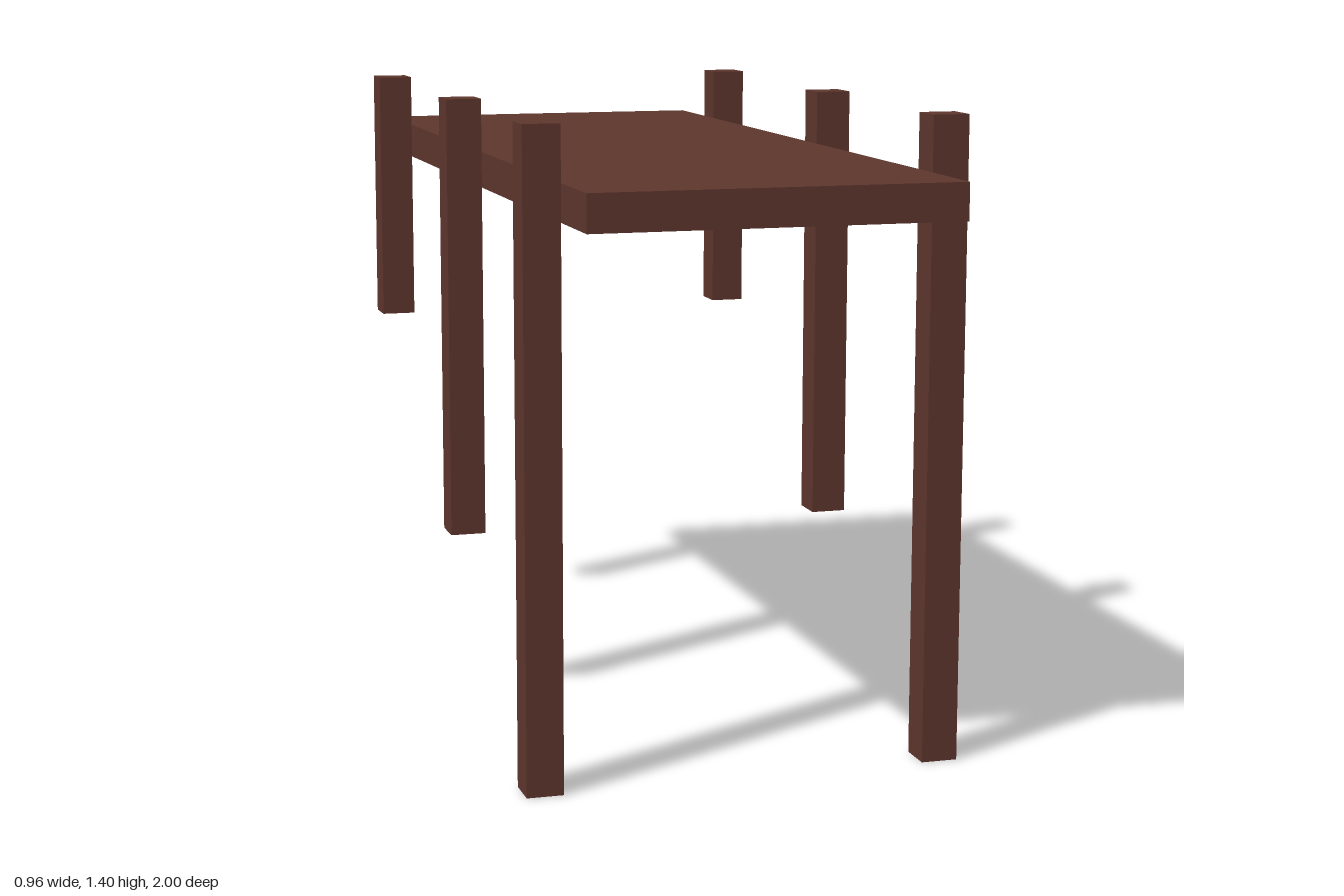
import * as THREE from 'three';

export function createModel() {
  const model = new THREE.Group();
  model.name = 'dock';

  const wood = new THREE.MeshStandardMaterial({ color: 0x5e362d });
  wood.name = 'dark brown wood';

  const addBox = (name, size, position) => {
    const mesh = new THREE.Mesh(new THREE.BoxGeometry(...size), wood);
    mesh.name = name;
    mesh.position.set(...position);
    model.add(mesh);
  };

  // Walkway slab
  addBox('deck', [0.8, 0.08, 2], [0, 1.24, 0]);

  // Pairs of posts, shorter towards the shore at the back
  const postTop = 1.4;
  const postWidth = 0.08;
  const rows = [
    { name: 'front', z: 0.76, bottom: 0 },
    { name: 'middle', z: 0.04, bottom: 0.4 },
    { name: 'back', z: -0.76, bottom: 0.8 },
  ];
  for (const { name, z, bottom } of rows) {
    for (const side of [1, -1]) {
      addBox(
        `${name}${side > 0 ? 'Left' : 'Right'}Post`,
        [postWidth, postTop - bottom, postWidth],
        [side * 0.44, (postTop + bottom) / 2, z],
      );
    }
  }

  return model;
}
